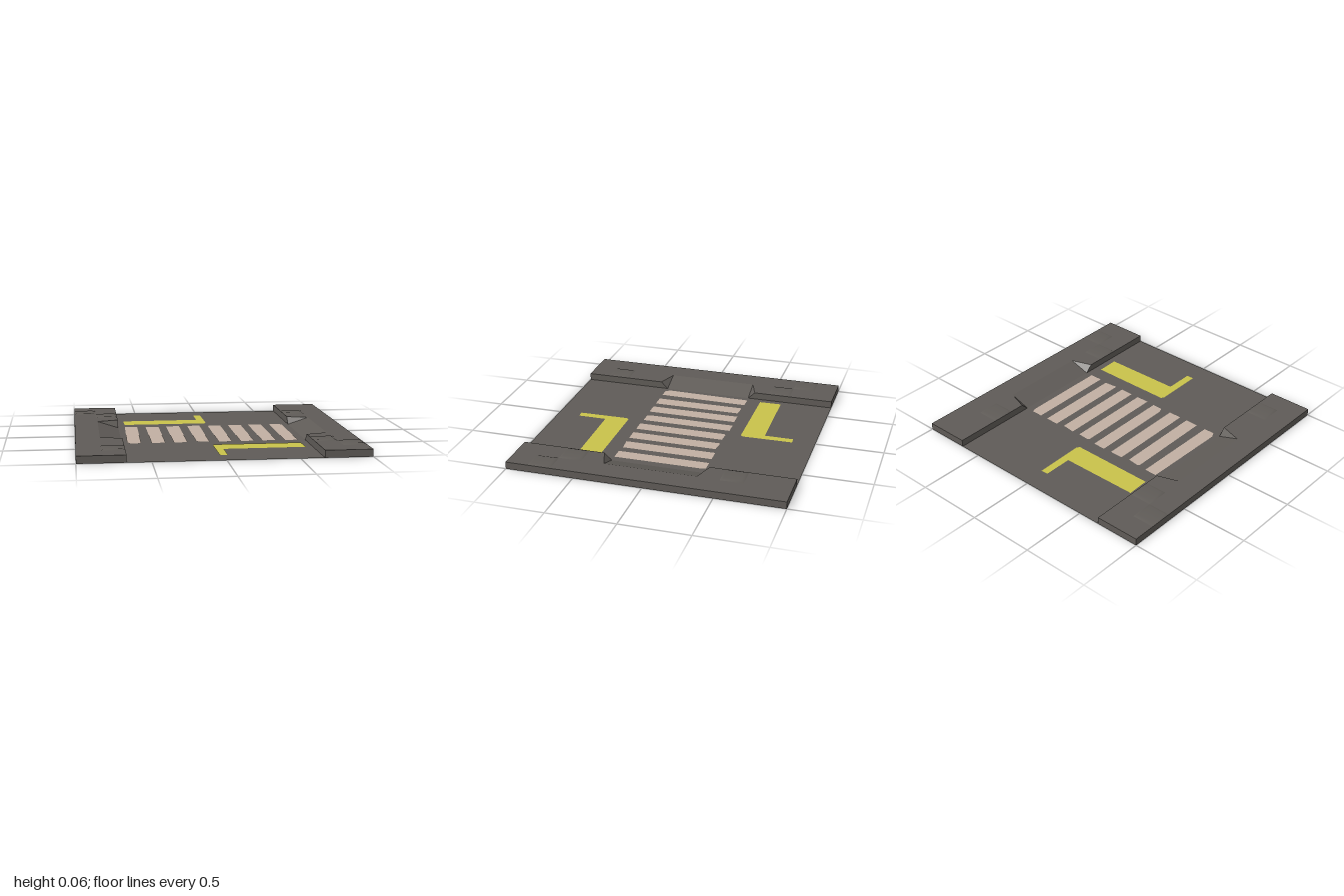
import * as THREE from 'three';

const asphalt = new THREE.MeshStandardMaterial({ color: 0x5f5b57, side: THREE.DoubleSide });
asphalt.name = 'asphalt grey';
const yellow = new THREE.MeshStandardMaterial({ color: 0xc9c24b, side: THREE.DoubleSide });
yellow.name = 'marking yellow';
const cream = new THREE.MeshStandardMaterial({ color: 0xc1afa2, side: THREE.DoubleSide });
cream.name = 'crossing cream';

const CURB = 2 / 3, H = 0.052, TILE = 1 / 6;

function addMesh(parent, geometry, material, name) {
  const mesh = new THREE.Mesh(geometry, material);
  mesh.name = name;
  parent.add(mesh);
  return mesh;
}

// Flat-shaded faces from convex polygons, mirrored in x when side is -1
function polygons(list, side) {
  const pos = [];
  for (const poly of list) {
    const p = poly.map(([x, y, z]) => [x * side, y, z]);
    if (side < 0) p.reverse();
    for (let i = 1; i < p.length - 1; i++) pos.push(...p[0], ...p[i], ...p[i + 1]);
  }
  const g = new THREE.BufferGeometry();
  g.setAttribute('position', new THREE.Float32BufferAttribute(pos, 3));
  g.computeVertexNormals();
  return g;
}

// Flat painted outline given as [x, z] points
function paint(points) {
  const shape = new THREE.Shape(points.map(([x, z]) => new THREE.Vector2(x, -z)));
  return new THREE.ShapeGeometry(shape).rotateX(-Math.PI / 2).translate(0, 0.002, 0);
}

// Hollow pavement with a lowered ramp at the crossing
function pavement(side) {
  const c = CURB, r = 0.825, a = 0.335, b = 0.388;
  return polygons([
    // deck
    [[r, H, -1], [r, H, 1], [1, H, 1], [1, H, -1]],
    [[c, H, b], [c, H, 1], [r, H, 1], [r, H, a]],
    [[c, H, -1], [c, H, -b], [r, H, -a], [r, H, -1]],
    // ramp and its flares
    [[c, 0, -a], [c, 0, a], [r, H, a], [r, H, -a]],
    [[c, 0, a], [c, H, b], [r, H, a]],
    [[c, H, -b], [c, 0, -a], [r, H, -a]],
    // outer side and ends
    [[1, 0, 1], [1, 0, -1], [1, H, -1], [1, H, 1]],
    [[c, 0, 1], [1, 0, 1], [1, H, 1], [c, H, 1]],
    [[1, 0, -1], [c, 0, -1], [c, H, -1], [1, H, -1]],
    // curb faces
    [[c, 0, a], [c, 0, 1], [c, H, 1], [c, H, b]],
    [[c, 0, -1], [c, 0, -a], [c, H, -b], [c, H, -1]],
  ], side);
}

// Raised paving slab: low frustum with softened shading
function slabGeometry() {
  const o = TILE / 2, i = o - 0.022, y = 0.0095;
  const ring = (s, h) => [[-s, h, -s], [-s, h, s], [s, h, s], [s, h, -s]].flat();
  const g = new THREE.BufferGeometry();
  g.setAttribute('position', new THREE.Float32BufferAttribute([...ring(o, 0), ...ring(i, y)], 3));
  const idx = [4, 5, 6, 4, 6, 7];
  for (let k = 0; k < 4; k++) {
    const n = (k + 1) % 4;
    idx.push(k, n, n + 4, k, n + 4, k + 4);
  }
  g.setIndex(idx);
  g.computeVertexNormals();
  return g;
}

export function createModel() {
  const model = new THREE.Group();
  model.name = 'crossingRoadTile';

  // Road surface
  addMesh(model, new THREE.PlaneGeometry(2 * CURB, 2).rotateX(-Math.PI / 2), asphalt, 'road');

  // Pavements
  addMesh(model, pavement(1), asphalt, 'leftPavement');
  addMesh(model, pavement(-1), asphalt, 'rightPavement');

  // Raised slabs
  const slab = slabGeometry();
  const slabs = [[-11, -9], [-9, -7], [9, -7], [-9, 9], [9, 7], [11, 9]];
  for (const [x, z] of slabs) {
    addMesh(model, slab, asphalt, 'pavingSlab').position.set(x * TILE / 2, H, z * TILE / 2);
  }

  // Zebra stripes with slightly worn corners
  const n = -0.34, s = 0.335;
  const stripes = [
    [[-0.615, n], [-0.52, n], [-0.53, s], [-0.61, s], [-0.63, 0.295]],
    [[-0.455, -0.325], [-0.445, -0.335], [-0.355, -0.325], [-0.355, s], [-0.455, s]],
    [[-0.295, n], [-0.195, n], [-0.195, s], [-0.295, s]],
    [[-0.13, -0.345], [-0.035, -0.345], [-0.035, 0.33], [-0.115, 0.33], [-0.13, 0.285]],
    [[0.03, -0.325], [0.045, -0.335], [0.128, -0.33], [0.128, s], [0.03, s]],
    [[0.19, -0.335], [0.29, -0.325], [0.29, s], [0.19, s]],
    [[0.35, n], [0.452, n], [0.452, 0.325], [0.35, s]],
    [[0.515, n], [0.6, n], [0.612, -0.31], [0.612, s], [0.515, s]],
  ];
  for (const p of stripes) addMesh(model, paint(p), cream, 'zebraStripe');

  // Stop bar with centre line, repeated by a half turn
  const stop = [[-0.615, -0.61], [-0.03, -0.617], [-0.03, -0.83], [0.025, -0.833],
    [0.03, -0.465], [0.015, -0.445], [-0.612, -0.445]];
  addMesh(model, paint(stop), yellow, 'backStopLine');
  addMesh(model, paint(stop), yellow, 'frontStopLine').rotation.y = Math.PI;

  return model;
}
